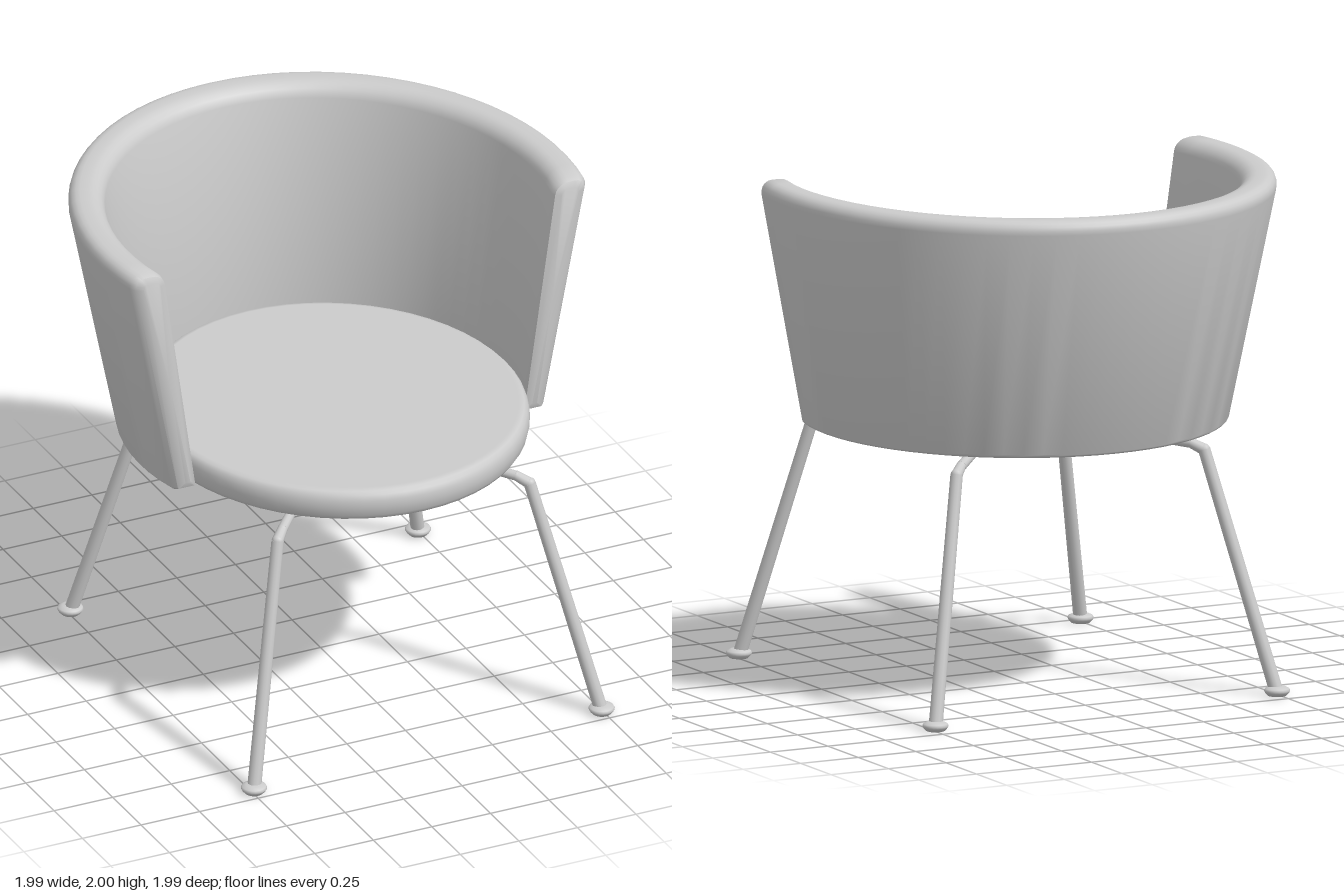
import * as THREE from 'three';
import { toCreasedNormals } from 'three/addons/utils/BufferGeometryUtils.js';

const material = new THREE.MeshStandardMaterial({ color: 0xcccccc });
const V = (x, y, z) => new THREE.Vector3(x, y, z);

function addMesh(parent, name, geometry) {
  const mesh = new THREE.Mesh(geometry, material);
  mesh.name = name;
  parent.add(mesh);
  return mesh;
}

// Capped round rod between two points
function rod(parent, name, a, b, rA, rB) {
  const dir = b.clone().sub(a);
  const mesh = addMesh(parent, name, new THREE.CylinderGeometry(rB, rA, dir.length(), 12));
  mesh.position.copy(a).add(b).multiplyScalar(0.5);
  mesh.quaternion.setFromUnitVectors(V(0, 1, 0), dir.normalize());
}

// Flared, wrapped back: a rounded wall section swept round an ellipse
function backrestGeometry() {
  const y0 = 1.03, y1 = 2.0, zc = 0.1, arc = 5;
  const wall = {
    inner: { x: [0.73, 0.86], z: [0.77, 0.96] },
    outer: { x: [0.82, 1.003], z: [0.865, 1.105] },
  };
  const corners = [
    ['outer', false, true], ['outer', true, false], ['inner', true, true], ['inner', false, false],
  ]; // wall side, at top, arc reversed

  // One closed ring; every point stops at the same front plane zEnd
  function ring(s, zEnd, inset) {
    const pts = [];
    for (const [side, top, reversed] of corners) {
      const r = Math.max((top ? 0.055 : 0.015) - inset, 0.004);
      for (let k = 0; k <= arc; k++) {
        const a = (reversed ? 1 - k / arc : k / arc) * Math.PI / 2;
        const d = (inset + r * (1 - Math.cos(a))) * (side === 'outer' ? -1 : 1);
        const dy = inset + r * (1 - Math.sin(a));
        const y = top ? y1 - dy : y0 + dy;
        const v = (y - y0) / (y1 - y0);
        const rx = THREE.MathUtils.lerp(...wall[side].x, v) + d;
        const rz = THREE.MathUtils.lerp(...wall[side].z, v) + d;
        const t = s * Math.acos(-(zEnd - zc) / rz);
        pts.push(V(rx * Math.sin(t), y, zc - rz * Math.cos(t)));
      }
    }
    return pts;
  }

  const N = 40;
  const rings = [ring(-1, 0.36, 0.035), ring(-1, 0.349, 0.01)];
  for (let i = 0; i <= N; i++) rings.push(ring(-1 + 2 * i / N, 0.325, 0));
  rings.push(ring(1, 0.349, 0.01), ring(1, 0.36, 0.035));

  const M = rings[0].length, last = rings.length - 1;
  const points = rings.flat(), index = [];
  for (let i = 0; i < last; i++) {
    for (let j = 0; j < M; j++) {
      const a = i * M + j, b = i * M + (j + 1) % M;
      index.push(a, b, a + M, b, b + M, a + M);
    }
  }
  // End caps
  for (const i of [0, last]) {
    const c = points.length;
    points.push(rings[i].reduce((sum, p) => sum.add(p), V(0, 0, 0)).divideScalar(M));
    for (let j = 0; j < M; j++) {
      const a = i * M + j, b = i * M + (j + 1) % M;
      if (i === 0) index.push(c, b, a);
      else index.push(c, a, b);
    }
  }
  const geometry = new THREE.BufferGeometry().setFromPoints(points);
  geometry.setIndex(index);
  return toCreasedNormals(geometry, 0.7);
}

// Oval cushion with a rounded rim
function seatGeometry() {
  const profile = [
    [0, 1.03], [0.955, 1.03], [0.975, 1.037], [0.99, 1.055], [1, 1.09], [0.998, 1.12],
    [0.988, 1.142], [0.972, 1.154], [0.945, 1.16], [0, 1.16],
  ].map(([r, y]) => new THREE.Vector2(r, y));
  const geometry = new THREE.LatheGeometry(profile, 56);
  geometry.scale(0.735, 1, 0.805);
  return geometry.translate(0, 0, 0.13);
}

// Round glide under each leg
const footProfile = [
  [0, 0], [0.036, 0], [0.047, 0.012], [0.051, 0.02], [0.047, 0.028], [0.03, 0.036], [0, 0.038],
].map(([r, y]) => new THREE.Vector2(r, y));

function makeLeg(sx, sz) {
  const leg = new THREE.Group();
  leg.name = (sz > 0 ? 'front' : 'back') + (sx > 0 ? 'Left' : 'Right') + 'Leg';
  const at = (x, y, z) => V(sx * x, y, 0.137 + sz * z);
  const foot = at(0.742, 0, 0.81);
  const path = [at(0.738, 0.025, 0.805), at(0.538, 0.945, 0.597), at(0.5, 0.968, 0.56), at(0.12, 1.022, 0.14)];
  rod(leg, 'shaft', path[0], path[1], 0.027, 0.024);
  rod(leg, 'bend', path[1], path[2], 0.023, 0.02);
  rod(leg, 'arm', path[2], path[3], 0.02, 0.018);
  for (const [i, r] of [[1, 0.0235], [2, 0.02]]) {
    addMesh(leg, 'joint', new THREE.SphereGeometry(r, 12, 8)).position.copy(path[i]);
  }
  addMesh(leg, 'foot', new THREE.LatheGeometry(footProfile, 20)).position.copy(foot);
  return leg;
}

export function createModel() {
  const chair = new THREE.Group();
  chair.name = 'armchair';
  addMesh(chair, 'seat', seatGeometry());
  addMesh(chair, 'backrest', backrestGeometry());
  for (const sx of [1, -1]) for (const sz of [1, -1]) chair.add(makeLeg(sx, sz));
  return chair;
}
